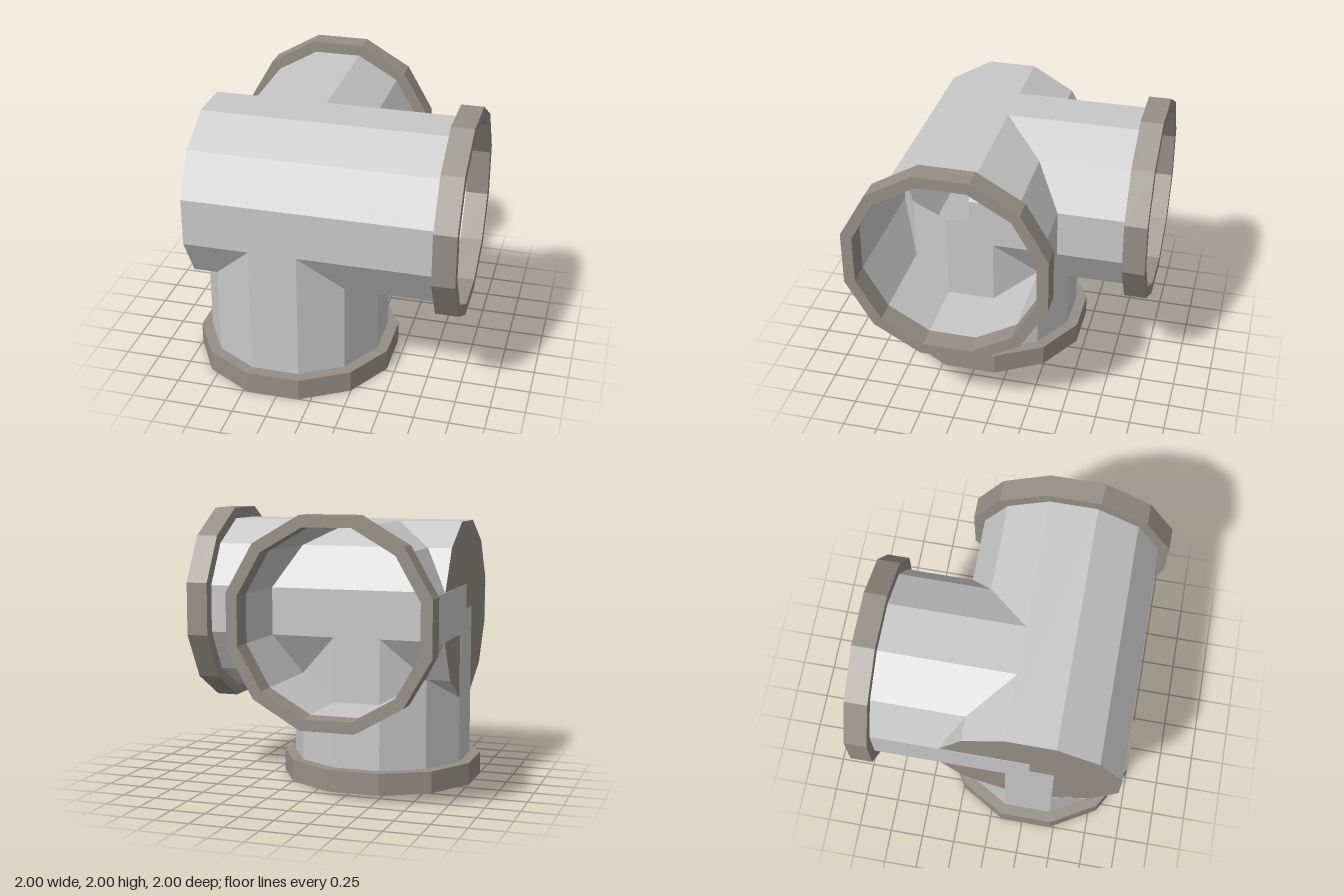
import * as THREE from 'three';

const SIDES = 12;
const STEP = Math.PI / SIDES;              // half a facet, puts flats on the axes
const toCorner = (flat) => flat / Math.cos(STEP);
const PIPE = toCorner(0.64);
const FLANGE = toCorner(0.72);
const REACH = 1.28;                        // joint centre to flange face
const THICK = 0.16;

export function createModel() {
  const pipeGrey = new THREE.MeshStandardMaterial({ color: 0xc8c8c8, flatShading: true, side: THREE.DoubleSide });
  pipeGrey.name = 'pipe grey';
  const flangeBrown = new THREE.MeshStandardMaterial({ color: 0x958f86, flatShading: true, side: THREE.DoubleSide });
  flangeBrown.name = 'flange brown';

  const model = new THREE.Group();
  model.name = 'threeWayPipe';

  function add(parent, name, geometry, material) {
    const mesh = new THREE.Mesh(geometry, material);
    mesh.name = name;
    parent.add(mesh);
    return mesh;
  }

  // One hollow arm along local +y, with a flange ring at its mouth
  function makeArm(name, start) {
    const arm = new THREE.Group();
    arm.name = name;
    const length = REACH - THICK - start;
    const tube = new THREE.CylinderGeometry(PIPE, PIPE, length, SIDES, 1, true, STEP);
    tube.translate(0, start + length / 2, 0);
    add(arm, name + 'Tube', tube, pipeGrey);

    const ring = [
      [FLANGE, REACH - THICK], [FLANGE, REACH], [PIPE, REACH],
      [PIPE, REACH - THICK], [FLANGE, REACH - THICK],
    ].map(([r, y]) => new THREE.Vector2(r, y));
    add(arm, name + 'Flange', new THREE.LatheGeometry(ring, SIDES, STEP), flangeBrown);

    arm.position.set(-0.28, 1.28, 0.28);
    model.add(arm);
    return arm;
  }

  // Main arm runs the full width and is closed at its far end
  const main = makeArm('sideArm', -0.64);
  main.rotation.z = -Math.PI / 2;
  const cap = new THREE.CircleGeometry(PIPE, SIDES, STEP);
  cap.rotateX(Math.PI / 2);
  cap.translate(0, -0.638, 0);
  add(main, 'endCap', cap, flangeBrown);

  // Branches start at the joint centre
  makeArm('lowerArm', 0).rotation.x = Math.PI;
  makeArm('rearArm', 0).rotation.x = -Math.PI / 2;

  return model;
}
